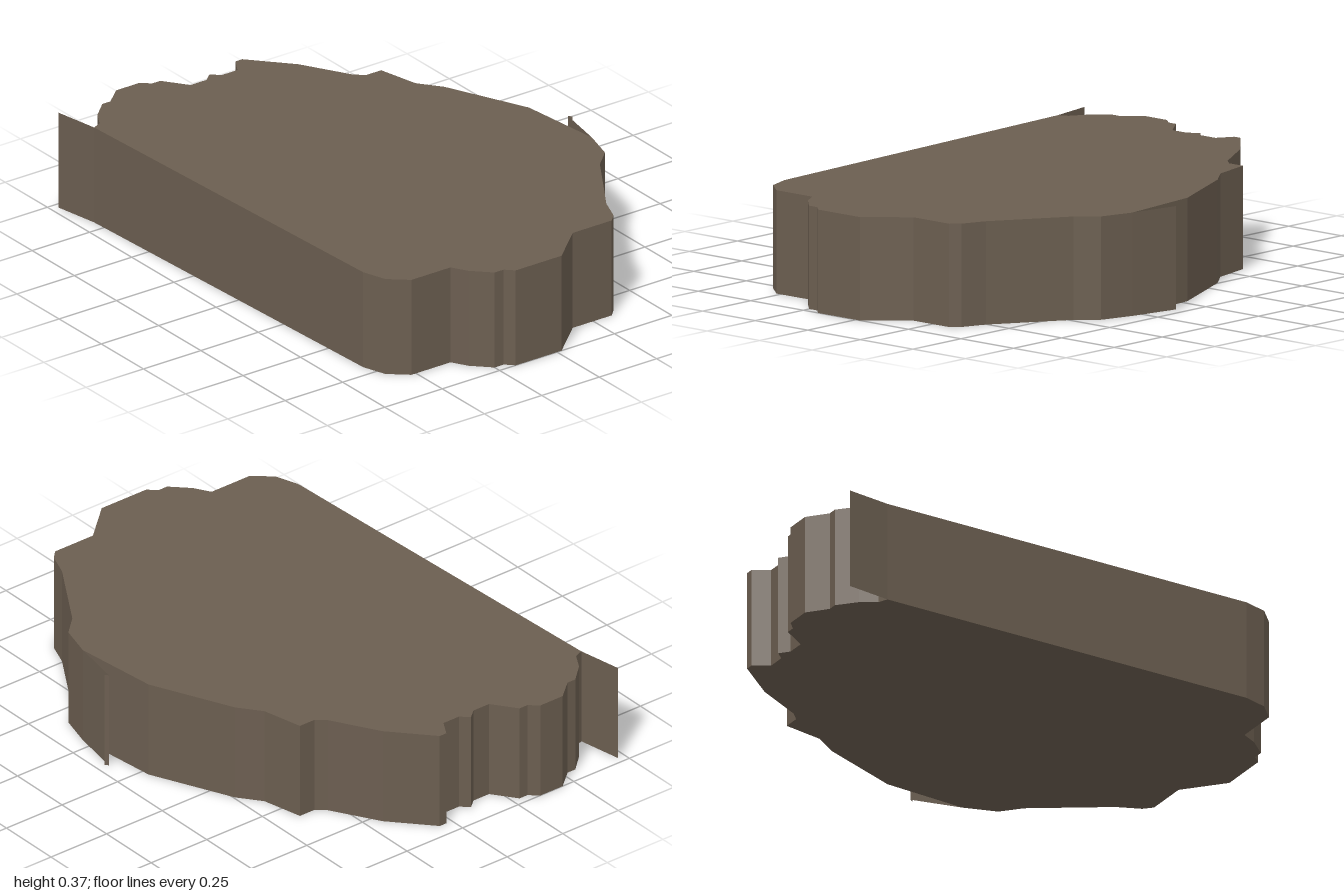
import * as THREE from 'three';

const HEIGHT = 0.37;

// Outline seen from above, as [x, z]
const OUTLINE = [
  [-0.69, -0.805], [-0.655, -0.82], [-0.62, -0.88], [-0.555, -0.94], [-0.52, -0.94],
  [-0.45, -1], [-0.35, -1], [-0.315, -0.97], [-0.28, -0.97], [-0.215, -0.88],
  [-0.145, -0.88], [-0.11, -0.91], [-0.08, -0.88], [-0.01, -0.88], [0.025, -0.94],
  [0.055, -0.94], [0.19, -0.79], [0.295, -0.61], [0.33, -0.58], [0.395, -0.58],
  [0.43, -0.425], [0.495, -0.34], [0.635, -0.03], [0.67, 0.295], [0.635, 0.42],
  [0.565, 0.485], [0.395, 0.755], [0.36, 0.845], [0.33, 0.875], [0.16, 0.875],
  [0.02, 1], [-0.18, 1], [-0.21, 0.97], [-0.25, 0.97], [-0.315, 0.905],
  [-0.35, 0.845], [-0.52, 0.845], [-0.59, 0.785], [-0.62, 0.695],
];

// Upright sheet of full height following a path of [x, z] points
function wallSheet(path) {
  const positions = [];
  for (let i = 0; i < path.length - 1; i++) {
    const [ax, az] = path[i], [bx, bz] = path[i + 1];
    positions.push(ax, 0, az, bx, 0, bz, bx, HEIGHT, bz);
    positions.push(ax, 0, az, bx, HEIGHT, bz, ax, HEIGHT, az);
  }
  const geometry = new THREE.BufferGeometry();
  geometry.setAttribute('position', new THREE.Float32BufferAttribute(positions, 3));
  geometry.computeVertexNormals();
  return geometry;
}

export function createModel() {
  const group = new THREE.Group();
  group.name = 'slab';
  const stone = new THREE.MeshStandardMaterial({ color: 0x6b5e50 });
  stone.name = 'brown stone';
  const thinStone = new THREE.MeshStandardMaterial({ color: 0x6b5e50, side: THREE.DoubleSide });
  thinStone.name = 'brown stone sheet';

  const add = (name, geometry, material) => {
    const mesh = new THREE.Mesh(geometry, material);
    mesh.name = name;
    group.add(mesh);
  };

  // Solid slab, extruded upwards
  const shape = new THREE.Shape(OUTLINE.map(([x, z]) => new THREE.Vector2(x, -z)));
  const body = new THREE.ExtrudeGeometry(shape, { depth: HEIGHT, bevelEnabled: false });
  body.rotateX(-Math.PI / 2);
  add('slabBody', body, stone);

  // Thin fins running off the rim
  add('backFin', wallSheet([[-0.69, -0.805], [-0.72, -0.975]]), thinStone);
  add('sideFin', wallSheet([[0.67, 0.295], [0.705, 0.105], [0.715, 0.118]]), thinStone);

  return group;
}
